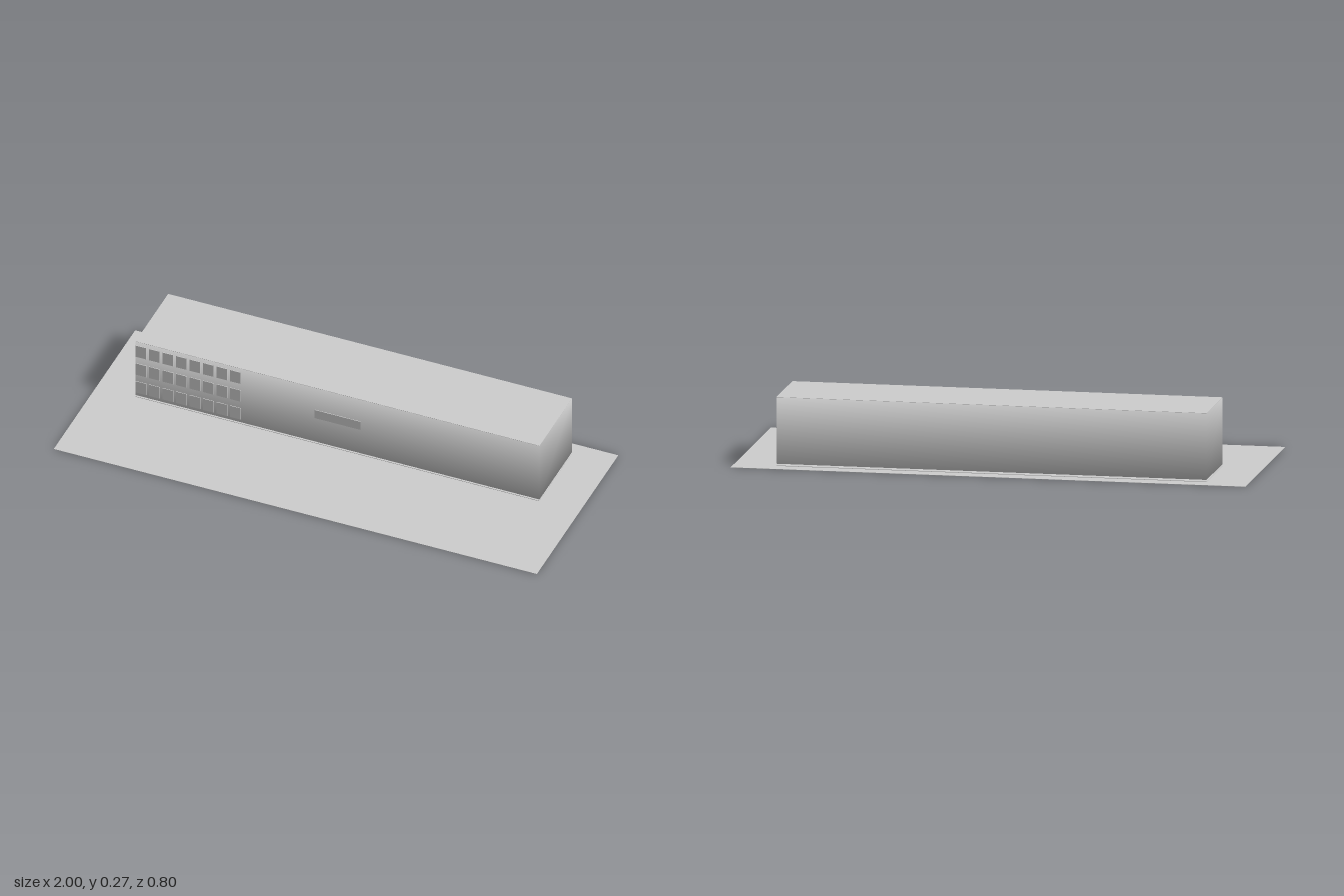
import * as THREE from 'three';
import { mergeVertices } from 'three/addons/utils/BufferGeometryUtils.js';

export function createModel() {
  const model = new THREE.Group();
  model.name = 'longBuilding';
  const grey = new THREE.MeshStandardMaterial({ color: 0xcccccc });
  grey.name = 'plain grey';

  // Box given by its lower and upper limits on each axis
  function box(name, [x0, x1], [y0, y1], [z0, z1], smooth = false, parent = model) {
    let geometry = new THREE.BoxGeometry(x1 - x0, y1 - y0, z1 - z0);
    if (smooth) {
      // Shared corners give the walls softly blended normals
      geometry.deleteAttribute('normal');
      geometry.deleteAttribute('uv');
      geometry = mergeVertices(geometry);
      geometry.computeVertexNormals();
    }
    const mesh = new THREE.Mesh(geometry, grey);
    mesh.name = name;
    mesh.position.set((x0 + x1) / 2, (y0 + y1) / 2, (z0 + z1) / 2);
    parent.add(mesh);
    return mesh;
  }

  const length = [-0.838, 0.834];
  const depth = [-0.34, -0.02];

  // Site, floor slab and the low core that carries the block
  box('ground', [-1, 1], [0, 0.001], [-0.4, 0.4]);
  box('floorSlab', length, [0.001, 0.003], depth);
  box('supportCore', [-0.1, 0.1], [0.003, 0.0095], [-0.22, -0.14]);

  // Main block with a flat roof
  box('walls', length, [0.0095, 0.268], depth, true);
  box('roof', length, [0.268, 0.269], depth);

  // Three rows of eight windows at the right end of the front
  const windows = new THREE.Group();
  windows.name = 'windows';
  model.add(windows);
  for (let row = 0; row < 3; row++) {
    for (let column = 0; column < 8; column++) {
      const x = -0.837 + column * 0.0558;
      const y = 0.024 + row * 0.0862;
      box('window', [x, x + 0.044], [y, y + 0.054], [-0.02, -0.0175], false, windows);
    }
  }

  // Blank panel in the middle of the front
  box('frontPanel', [-0.096, 0.094], [0.124, 0.163], [-0.02, -0.0175]);
  return model;
}
